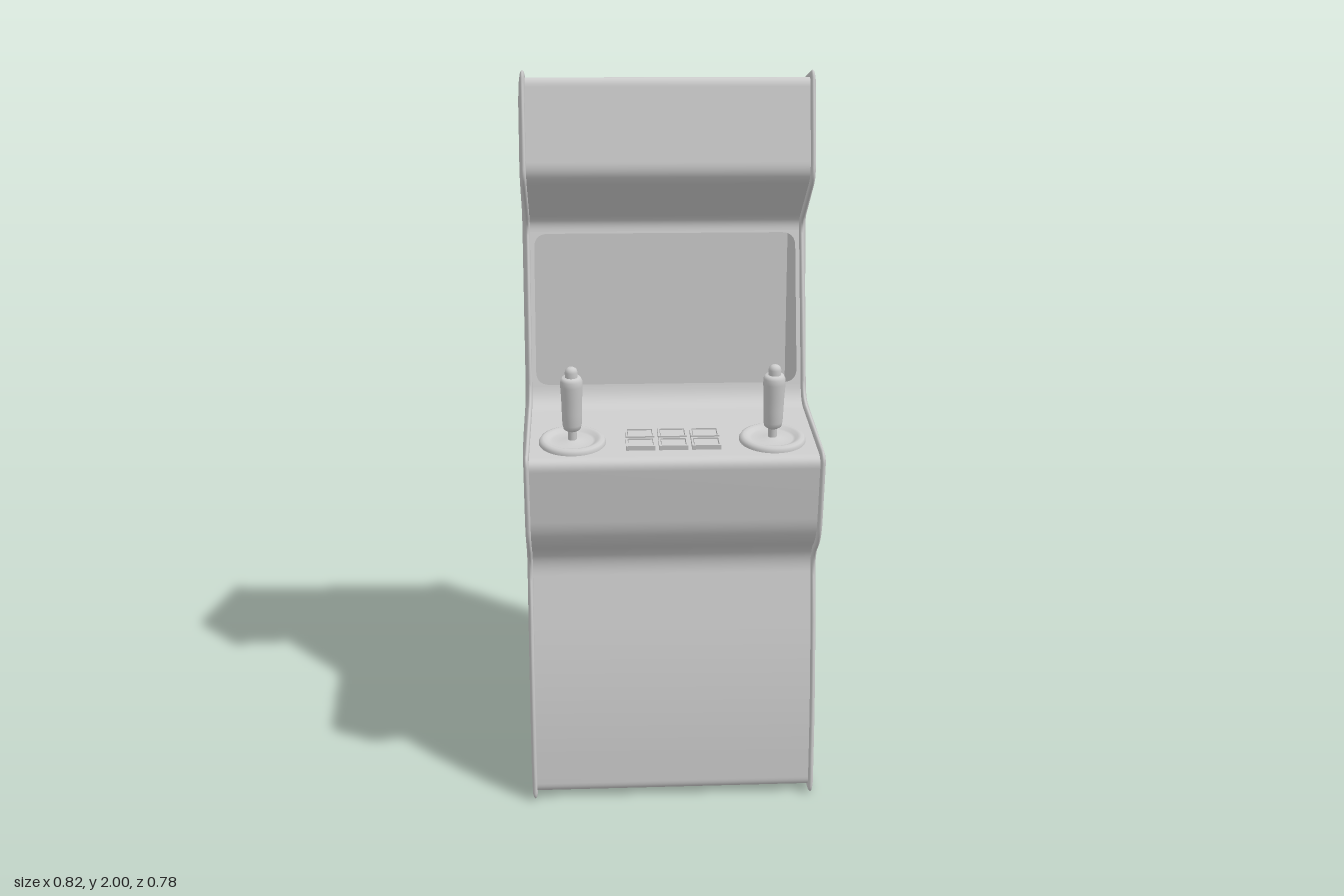
import * as THREE from 'three';
import { mergeVertices } from 'three/addons/utils/BufferGeometryUtils.js';

// Cabinet silhouette corners: [z, y, corner size], counter-clockwise from the screen top
const CORNERS = [
  [-0.115, 1.57, 0.03], [0.095, 1.712, 0.04], [0.042, 2.005, 0.03],
  [-0.39, 1.922, 0.03], [-0.39, 0, 0.025], [0.316, 0, 0.03],
  [0.317, 0.32, 0.2], [0.253, 0.7, 0.06], [0.352, 0.768, 0.06],
  [0.395, 1.026, 0.03], [0, 1.086, 0.05],
];
const SHELL_X = 0.385;
const SHELL_INSET = 0.017;

// Silhouette moved inward by d, with rounded corners
function profile(d) {
  const n = CORNERS.length;
  const pts = CORNERS.map(([z, y]) => new THREE.Vector2(z, y));
  const inward = (a, b) => {
    const v = b.clone().sub(a).normalize();
    return new THREE.Vector2(-v.y, v.x);
  };
  const inset = pts.map((p, i) => {
    const n1 = inward(pts[(i + n - 1) % n], p);
    const n2 = inward(p, pts[(i + 1) % n]);
    const m = n1.clone().add(n2);
    return p.clone().addScaledVector(m, d / (1 + n1.dot(n2)));
  });
  const out = [];
  inset.forEach((p, i) => {
    const r = CORNERS[i][2];
    const toward = (q) => p.clone().addScaledVector(q.clone().sub(p).normalize(), r);
    const a = toward(inset[(i + n - 1) % n]);
    const b = toward(inset[(i + 1) % n]);
    out.push(...new THREE.QuadraticBezierCurve(a, p, b).getPoints(10));
  });
  return out;
}

// Smooth skin over rows of points
function skin(rows) {
  const cols = rows[0].length;
  const index = [];
  for (let i = 0; i < rows.length - 1; i++) {
    for (let j = 0; j < cols - 1; j++) {
      const a = i * cols + j, c = a + cols;
      index.push(a, a + 1, c, a + 1, c + 1, c);
    }
  }
  let g = new THREE.BufferGeometry().setFromPoints(rows.flat());
  g.setIndex(index);
  g = mergeVertices(g, 1e-5);
  g.computeVertexNormals();
  return g;
}

// Side panel with a rounded lip and a gently domed outer face
function sidePanelGeometry(side) {
  const lip = [[0.01, 0.384], [0.003, 0.386], [0, 0.39], [0.003, 0.394], [0.01, 0.397]];
  const dome = [[0.12, 0.401], [0.35, 0.405], [1, 0.408]];
  const rings = lip.map(([d, x]) => [profile(d), x]);
  const inner = rings[0][0];
  const toSpine = (t) => inner.map((p) =>
    p.clone().lerp(new THREE.Vector2(-0.2, THREE.MathUtils.clamp(p.y, 0.2, 1.8)), t));
  rings.unshift([toSpine(1), 0.384]);
  dome.forEach(([t, x]) => rings.push([toSpine(t), x]));
  if (side < 0) rings.reverse();
  const rows = inner.map((_, i) =>
    rings.map(([ring, x]) => new THREE.Vector3(side * x, ring[i].y, ring[i].x)));
  rows.push(rows[0]);
  return skin(rows);
}

function roundedRect(target, w, h, r) {
  const x = w / 2, y = h / 2;
  target.moveTo(-x + r, -y);
  target.lineTo(x - r, -y).quadraticCurveTo(x, -y, x, -y + r);
  target.lineTo(x, y - r).quadraticCurveTo(x, y, x - r, y);
  target.lineTo(-x + r, y).quadraticCurveTo(-x, y, -x, y - r);
  target.lineTo(-x, -y + r).quadraticCurveTo(-x, -y, -x + r, -y);
  return target;
}

function lathe(points, segments = 40) {
  return new THREE.LatheGeometry(points.map(([r, y]) => new THREE.Vector2(r, y)), segments);
}

export function createModel() {
  const model = new THREE.Group();
  model.name = 'arcadeCabinet';
  const grey = new THREE.MeshStandardMaterial({ color: 0xcccccc, side: THREE.DoubleSide });
  grey.name = 'lightGrey';
  const add = (parent, name, geometry) => {
    const mesh = new THREE.Mesh(geometry, grey);
    mesh.name = name;
    parent.add(mesh);
    return mesh;
  };

  // Side panels
  add(model, 'leftSidePanel', sidePanelGeometry(1));
  add(model, 'rightSidePanel', sidePanelGeometry(-1));

  // Hollow body, open where the screen goes
  const outline = profile(SHELL_INSET);
  add(model, 'cabinetBody', skin(outline.map((p) => [
    new THREE.Vector3(-SHELL_X, p.y, p.x), new THREE.Vector3(SHELL_X, p.y, p.x)])));

  // Sloped screen surround with a rounded opening
  const top = outline[0], bottom = outline[outline.length - 1];
  const height = top.distanceTo(bottom);
  const frame = roundedRect(new THREE.Shape(), SHELL_X * 2, height, 0.0001);
  frame.holes.push(roundedRect(new THREE.Path(), 0.745, height - 0.012, 0.04));
  const surround = add(model, 'screenSurround', new THREE.ShapeGeometry(frame, 10));
  surround.position.set(0, (top.y + bottom.y) / 2, (top.x + bottom.x) / 2);
  surround.rotation.x = Math.atan2(top.x - bottom.x, top.y - bottom.y);

  // Controls share the tilt of the control deck
  const deck = new THREE.Group();
  deck.name = 'controls';
  deck.position.set(0, 1.031, 0.25);
  deck.rotation.x = Math.atan2(0.06, 0.395);
  model.add(deck);

  // Joysticks
  const baseGeometry = lathe([
    [0.09, -0.003], [0.09, 0.005], [0.086, 0.012], [0.078, 0.015], [0.069, 0.013],
    [0.062, 0.007], [0.055, 0.005], [0.035, 0.006], [0.022, 0.009], [0, 0.013]]);
  const shaftGeometry = new THREE.CylinderGeometry(0.012, 0.012, 0.05, 24);
  const gripGeometry = lathe([
    [0, 0.037], [0.016, 0.037], [0.023, 0.042], [0.026, 0.055], [0.027, 0.09],
    [0.028, 0.13], [0.03, 0.165], [0.029, 0.18], [0.024, 0.189], [0, 0.191]], 32);
  const knobGeometry = lathe([
    [0.017, 0.185], [0.017, 0.204], [0.014, 0.212], [0.008, 0.216], [0, 0.217]], 24);
  for (const [side, label] of [[1, 'left'], [-1, 'right']]) {
    const stick = new THREE.Group();
    stick.name = label + 'Joystick';
    stick.position.x = side * 0.27;
    add(stick, 'joystickBase', baseGeometry);
    add(stick, 'joystickShaft', shaftGeometry).position.y = 0.025;
    add(stick, 'joystickGrip', gripGeometry);
    add(stick, 'joystickButton', knobGeometry);
    deck.add(stick);
  }

  // Two rows of three framed push buttons
  const rim = roundedRect(new THREE.Shape(), 0.078, 0.054, 0.001);
  rim.holes.push(roundedRect(new THREE.Path(), 0.068, 0.044, 0.001));
  const rimGeometry = new THREE.ExtrudeGeometry(rim, { depth: 0.014, bevelEnabled: false, curveSegments: 2 });
  rimGeometry.rotateX(-Math.PI / 2);
  const buttonGeometry = new THREE.BoxGeometry(0.064, 0.012, 0.04);
  for (const z of [-0.032, 0.032]) {
    for (const x of [-0.088, 0, 0.088]) {
      add(deck, 'buttonFrame', rimGeometry).position.set(x, -0.001, z);
      add(deck, 'button', buttonGeometry).position.set(x, 0.004, z);
    }
  }
  return model;
}
